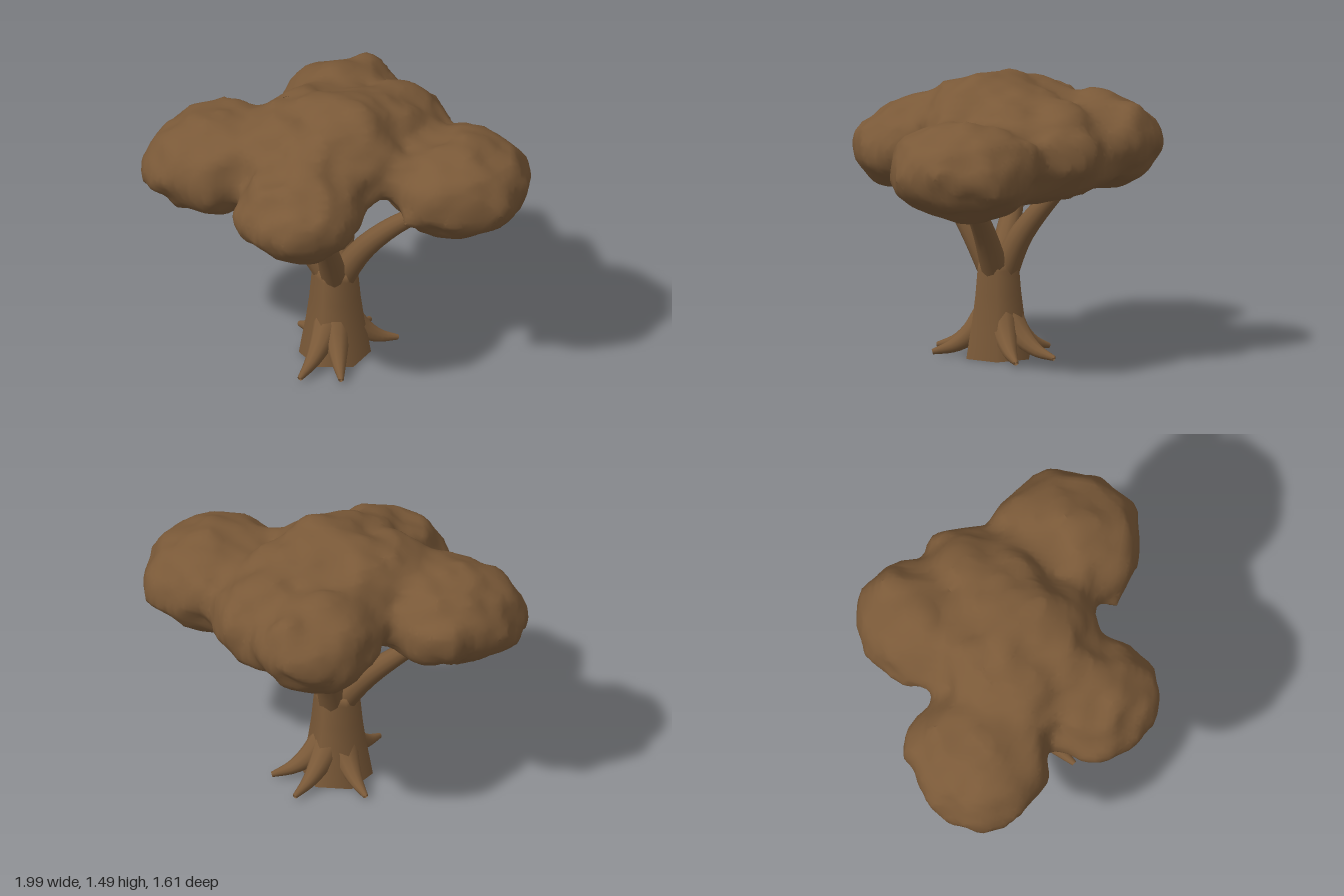
import * as THREE from 'three';

const V = (p) => new THREE.Vector3(...p);

// Seeded smooth value noise in -0.5..0.5
function hash(x, y, z) {
  const s = Math.sin(x * 127.1 + y * 311.7 + z * 74.7) * 43758.5453;
  return s - Math.floor(s);
}
function noise(x, y, z) {
  const i = Math.floor(x), j = Math.floor(y), k = Math.floor(z);
  const ease = (t) => t * t * (3 - 2 * t);
  const u = ease(x - i), v = ease(y - j), w = ease(z - k);
  let sum = -0.5;
  for (let a = 0; a < 2; a++) for (let b = 0; b < 2; b++) for (let c = 0; c < 2; c++) {
    sum += hash(i + a, j + b, k + c) * (a ? u : 1 - u) * (b ? v : 1 - v) * (c ? w : 1 - w);
  }
  return sum;
}

// Foliage masses of the crown: centre and radii
const MASSES = [
  [[-0.625, 1.09, -0.06], [0.365, 0.25, 0.37]],
  [[-0.21, 1.07, 0.445], [0.335, 0.235, 0.355]],
  [[0.61, 1.08, 0.19], [0.385, 0.25, 0.375]],
  [[0.05, 1.14, -0.445], [0.32, 0.24, 0.355]],
  [[0.32, 1.13, -0.19], [0.28, 0.25, 0.33]],
  [[-0.03, 1.225, 0.03], [0.42, 0.25, 0.43]],
].map(([c, r]) => ({ center: V(c), radii: V(r) }));

// Distance to the crown: ellipsoids blended softly, with a lumpy surface
function crownDistance(p) {
  const blend = 0.12;
  let d = 1;
  for (const { center, radii } of MASSES) {
    const q = p.clone().sub(center).divide(radii);
    const a = q.length(), b = q.divide(radii).length();
    const e = a * (a - 1) / Math.max(b, 1e-6);
    const h = Math.max(blend - Math.abs(d - e), 0) / blend;
    d = Math.min(d, e) - h * h * blend / 4;
  }
  return d - 0.075 * noise(p.x * 6 + 9, p.y * 6, p.z * 6 + 5)
    - 0.035 * noise(p.x * 12, p.y * 12 + 7, p.z * 12);
}

// One closed skin: a vertex in each grid cell the surface crosses, joined by quads
function crownGeometry() {
  const step = 0.035, low = [-1.1, 0.75, -0.9], size = [64, 25, 52];
  const strides = [1, size[0], size[0] * size[1]];
  const total = strides[2] * size[2];
  const coords = (n) => [n % size[0], Math.floor(n / strides[1]) % size[1], Math.floor(n / strides[2])];
  const point = (n) => V(coords(n).map((c, a) => low[a] + c * step));
  const field = Array.from({ length: total }, (_, n) => crownDistance(point(n)));
  const crosses = (m, n) => (field[m] < 0) !== (field[n] < 0);

  const positions = [], cellVertex = new Map(), index = [];
  for (let n = 0; n < total; n++) {
    if (coords(n).some((c, a) => c === size[a] - 1)) continue;
    const sum = new THREE.Vector3();
    let count = 0;
    for (let corner = 0; corner < 8; corner++) for (let a = 0; a < 3; a++) {
      if (corner & (1 << a)) continue;
      const m = n + strides.reduce((s, stride, b) => s + (corner & (1 << b) ? stride : 0), 0);
      const end = m + strides[a];
      if (!crosses(m, end)) continue;
      sum.add(point(m).lerp(point(end), field[m] / (field[m] - field[end])));
      count++;
    }
    if (!count) continue;
    cellVertex.set(n, positions.length / 3);
    positions.push(...sum.divideScalar(count).toArray());
  }
  for (let n = 0; n < total; n++) for (let a = 0; a < 3; a++) {
    if (coords(n)[a] === size[a] - 1 || !crosses(n, n + strides[a])) continue;
    const b = strides[(a + 1) % 3], c = strides[(a + 2) % 3];
    const quad = [n, n - b, n - b - c, n - c].map((cell) => cellVertex.get(cell));
    if (field[n] > 0) quad.reverse();
    index.push(quad[0], quad[1], quad[2], quad[0], quad[2], quad[3]);
  }
  const g = new THREE.BufferGeometry();
  g.setAttribute('position', new THREE.Float32BufferAttribute(positions, 3));
  g.setIndex(index);
  g.computeVertexNormals();
  return g;
}

// Tube along a curve, tapering from r0 to r1 and closed at the tip
function taperGeometry(points, r0, r1, sides) {
  const curve = new THREE.CatmullRomCurve3(points.map(V));
  const segs = 12;
  const g = new THREE.TubeGeometry(curve, segs, 1, sides, false);
  const pos = g.attributes.position, p = new THREE.Vector3();
  for (let i = 0; i <= segs; i++) {
    // the last two rings share the end point, so the cap is flat
    const t = Math.min(1, i / (segs - 1));
    const c = curve.getPointAt(i / segs), end = curve.getPointAt(t);
    const r = i === segs ? 0 : r0 + (r1 - r0) * t;
    for (let j = 0; j <= sides; j++) {
      const n = i * (sides + 1) + j;
      p.fromBufferAttribute(pos, n).sub(c).multiplyScalar(r).add(end);
      pos.setXYZ(n, p.x, p.y, p.z);
    }
  }
  return g;
}

export function createModel() {
  const tree = new THREE.Group();
  tree.name = 'tree';
  const brown = new THREE.MeshStandardMaterial({ color: 0x7a5938 });
  brown.name = 'brown';
  const add = (name, geometry, parent = tree) => {
    const mesh = new THREE.Mesh(geometry, brown);
    mesh.name = name;
    parent.add(mesh);
    return mesh;
  };
  const addGroup = (name) => {
    const group = new THREE.Group();
    group.name = name;
    tree.add(group);
    return group;
  };

  // Six-sided trunk with a flat foot
  const profile = [[0.185, 0], [0.168, 0.1], [0.15, 0.2], [0.132, 0.33], [0.12, 0.46], [0.112, 0.5], [0, 0.505]];
  const trunk = add('trunk', new THREE.LatheGeometry(
    profile.map(([r, y]) => new THREE.Vector2(r, y)), 6, Math.PI / 2));
  trunk.position.set(-0.015, 0, 0.043);
  const foot = add('trunkFoot', new THREE.CircleGeometry(0.185, 6).rotateX(Math.PI / 2));
  foot.position.copy(trunk.position);

  // Roots flaring out to blunt tips
  const roots = addGroup('roots');
  const tips = [[0.31, -0.06], [0.01, 0.38], [-0.2, 0.36], [-0.19, -0.21], [0.17, -0.25]];
  for (const [x, z] of tips) {
    const at = (f, y) => [-0.015 + (x + 0.015) * f, y, 0.043 + (z - 0.043) * f];
    add('root', taperGeometry([at(0.14, 0.22), at(0.42, 0.115), at(0.68, 0.055), at(1, 0.024)], 0.085, 0.014, 10), roots);
  }

  // Four branches reaching into the crown
  const branches = addGroup('branches');
  const paths = [
    [[-0.02, 0.42, 0.04], [-0.17, 0.62, 0.0], [-0.39, 0.83, -0.04], [-0.54, 0.95, -0.06]],
    [[0.0, 0.42, 0.05], [0.13, 0.64, 0.1], [0.32, 0.82, 0.15], [0.54, 0.94, 0.19]],
    [[-0.01, 0.42, 0.06], [-0.05, 0.63, 0.17], [-0.1, 0.83, 0.29], [-0.16, 0.98, 0.38]],
    [[0.0, 0.42, 0.02], [0.025, 0.63, -0.07], [0.045, 0.83, -0.22], [0.06, 1.0, -0.38]],
  ];
  for (const path of paths) add('branch', taperGeometry(path, 0.075, 0.036, 12), branches);

  // Crown of softly merged foliage
  add('crown', crownGeometry());

  return tree;
}
